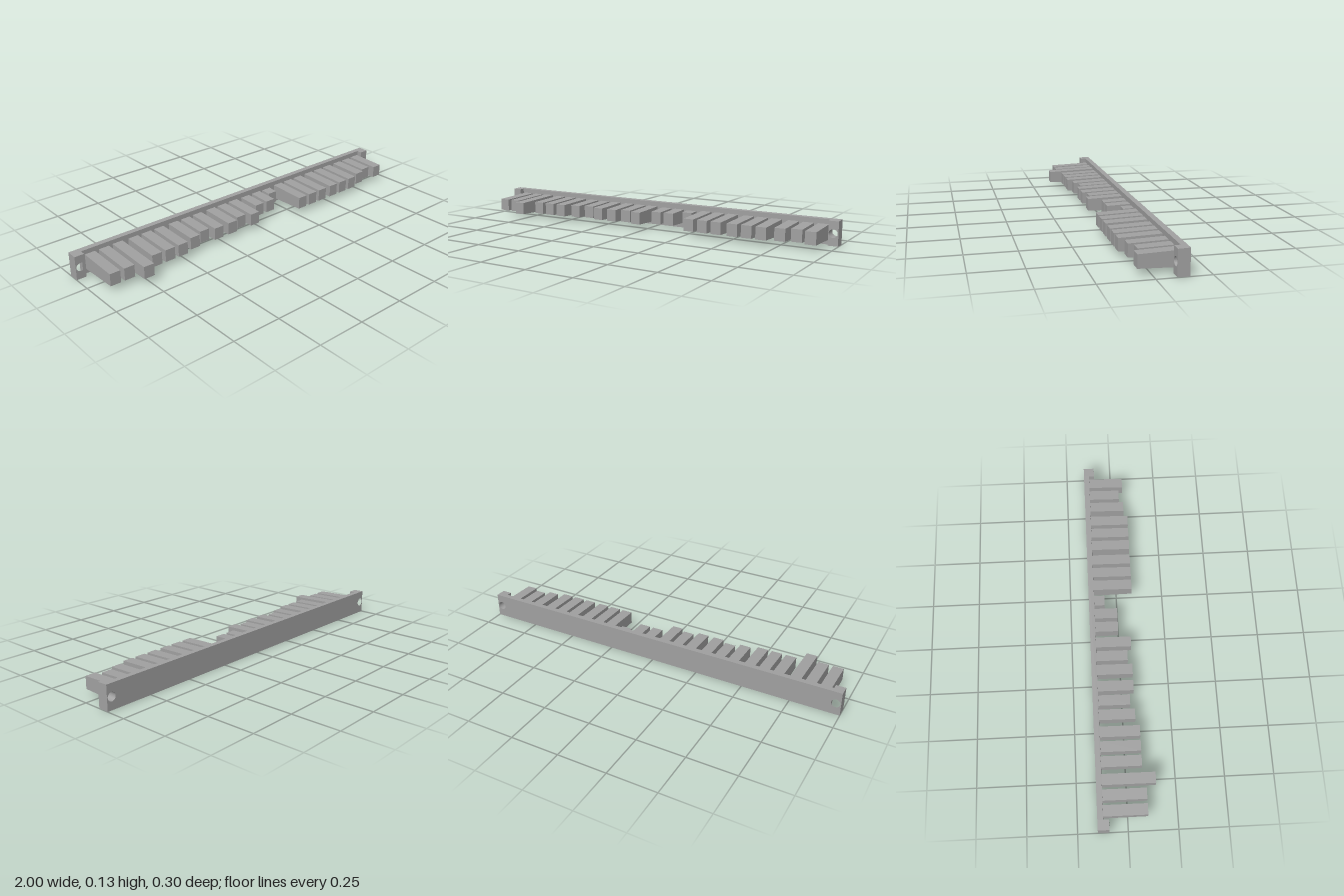
import * as THREE from 'three';

const MID_Y = 0.064;     // height of the centre line
const BACK = -0.148;     // rear face of the rail
const RAIL_FRONT = -0.12;
const END_FRONT = -0.092;
const DRAFT = 0.034;     // shrink in half height per unit of depth

// Slopes the top and bottom of a part so that it thins towards the front.
function addDraft(geometry, halfHeight, zFull) {
  const p = geometry.attributes.position;
  for (let i = 0; i < p.count; i++) {
    const k = 1 - DRAFT * (p.getZ(i) - zFull) / halfHeight;
    p.setY(i, MID_Y + p.getY(i) * k);
  }
  geometry.computeVertexNormals();
  return geometry;
}

// Box between two depths, drafted from the given depth.
function draftedBox(x, width, halfHeight, z0, z1, zFull) {
  const g = new THREE.BoxGeometry(width, halfHeight * 2, z1 - z0);
  g.translate(x, 0, (z0 + z1) / 2);
  return addDraft(g, halfHeight, zFull);
}

export function createModel() {
  const group = new THREE.Group();
  const grey = new THREE.MeshStandardMaterial({ color: 0xa0a0a0 });
  grey.name = 'plain grey';
  const add = (name, geometry) => {
    const mesh = new THREE.Mesh(geometry, grey);
    mesh.name = name;
    group.add(mesh);
  };

  // Long rail that carries the bars
  add('rail', draftedBox(0, 1.9, 0.063, BACK, RAIL_FRONT, BACK));

  // Thicker end blocks with screw holes
  for (const side of [-1, 1]) {
    const shape = new THREE.Shape();
    const inner = side * 0.95, outer = side;
    shape.moveTo(inner, -0.063);
    shape.lineTo(outer, -0.063);
    shape.lineTo(outer, 0.063);
    shape.lineTo(inner, 0.063);
    shape.closePath();
    const hole = new THREE.Path();
    hole.absarc(side * 0.974, 0, 0.022, 0, Math.PI * 2, true);
    shape.holes.push(hole);
    const g = new THREE.ExtrudeGeometry(shape, {
      depth: END_FRONT - BACK, bevelEnabled: false, curveSegments: 24,
    });
    g.translate(0, 0, BACK);
    add(side > 0 ? 'leftEndBlock' : 'rightEndBlock', addDraft(g, 0.063, BACK));
  }

  // Bars in groups of three; each number is the depth of a bar's tip
  const tips = [
    [0.1, 0.1, 0.148], [0.084, 0.084, 0.084], [0.064, 0.042, 0.064], [0.064, 0.042, 0.064],
    [0, 0, -0.065], [0.084, 0.084, 0.084], [0.084, 0.084, 0.084], [0.064, 0.042, 0.064],
  ];
  tips.forEach((trio, i) => trio.forEach((tip, j) => {
    const x = -0.83 + i * 0.2388 + (j - 1) * 0.0755;
    add('bar' + (i * 3 + j + 1), draftedBox(x, 0.055, 0.0315, RAIL_FRONT, tip, tip));
  }));

  return group;
}
